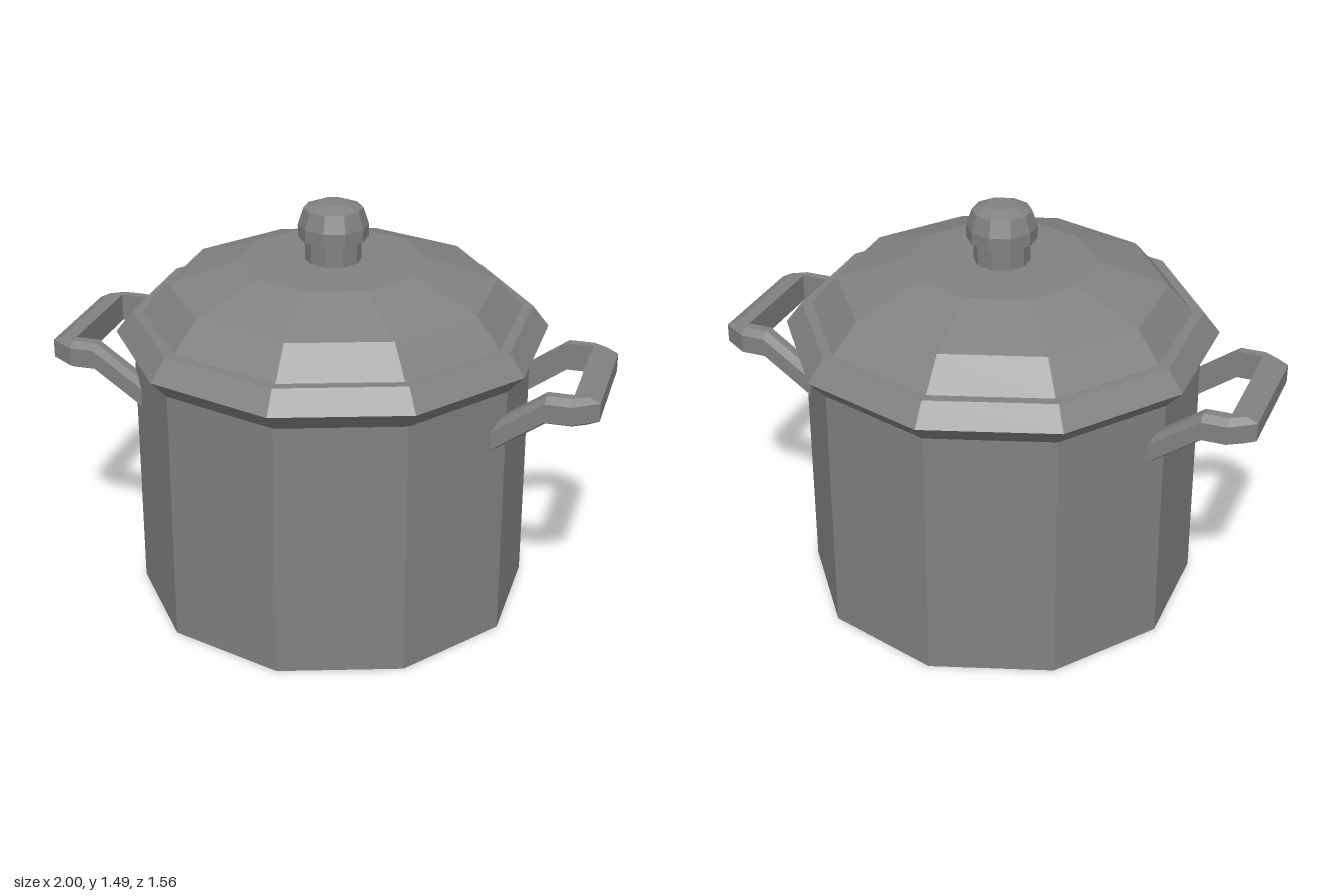
import * as THREE from 'three';

const SIDES = 10;

function material() {
  return new THREE.MeshStandardMaterial({ color: 0x818181, flatShading: true });
}

// Faceted turned part from [radius, height] pairs, bottom to top
function turned(name, profile) {
  const points = profile.map(([r, y]) => new THREE.Vector2(r, y));
  const mesh = new THREE.Mesh(new THREE.LatheGeometry(points, SIDES), material());
  mesh.name = name;
  return mesh;
}

// U-shaped side handle on +x, lofted through bevelled six-sided sections
function handleGeometry() {
  // Each station: plan position [x, z] of the inner, middle and outer edge, and drop in y
  const half = [
    { inner: [0.64, 0.217], mid: [0.64, 0.25], outer: [0.64, 0.28], drop: 0.128 },
    { inner: [0.82, 0.217], mid: [0.82, 0.25], outer: [0.82, 0.28], drop: 0 },
    { inner: [0.91, 0.217], mid: [0.91, 0.25], outer: [0.91, 0.28], drop: 0 },
    { inner: [0.91, 0.217], mid: [0.96, 0.22], outer: [1.0, 0.22], drop: 0 },
  ];
  const flip = ([x, z]) => [x, -z];
  const mirrored = half.map((s) => ({
    inner: flip(s.inner), mid: flip(s.mid), outer: flip(s.outer), drop: s.drop,
  })).reverse();
  const stations = [...half, ...mirrored];

  const positions = [];
  for (const { inner, mid, outer, drop } of stations) {
    const ring = [[inner, 0.852], [inner, 0.955], [mid, 0.955],
      [outer, 0.935], [outer, 0.868], [mid, 0.852]];
    for (const [[x, z], y] of ring) positions.push(x, y - drop, z);
  }

  const index = [];
  const n = 6;
  for (let i = 0; i < stations.length - 1; i++) {
    for (let j = 0; j < n; j++) {
      const a = i * n + j;
      const b = i * n + (j + 1) % n;
      index.push(a, b, a + n, b, b + n, a + n);
    }
  }
  // End caps
  const last = (stations.length - 1) * n;
  for (let j = 1; j < n - 1; j++) {
    index.push(0, j + 1, j, last, last + j, last + j + 1);
  }

  const geometry = new THREE.BufferGeometry();
  geometry.setAttribute('position', new THREE.Float32BufferAttribute(positions, 3));
  geometry.setIndex(index);
  geometry.computeVertexNormals();
  return geometry;
}

export function createModel() {
  const model = new THREE.Group();
  model.name = 'cookingPot';

  // Straight-sided body with a closed base
  model.add(turned('potBody', [[0, 0], [0.717, 0], [0.717, 0.94]]));

  // Lid with flared rim, small step and shallow dome
  model.add(turned('lid', [
    [0.717, 0.94], [0.779, 1.007], [0.719, 1.085], [0.682, 1.085],
    [0.588, 1.19], [0.335, 1.275], [0, 1.275],
  ]));

  // Knob on a short stem
  model.add(turned('lidKnob', [
    [0.1, 1.275], [0.1, 1.36], [0.125, 1.36], [0.125, 1.405],
    [0.105, 1.465], [0.055, 1.485], [0, 1.485],
  ]));

  // Two matching side handles
  const geometry = handleGeometry();
  ['leftHandle', 'rightHandle'].forEach((name, i) => {
    const handle = new THREE.Mesh(geometry, material());
    handle.name = name;
    handle.rotation.y = i * Math.PI;
    model.add(handle);
  });

  return model;
}
